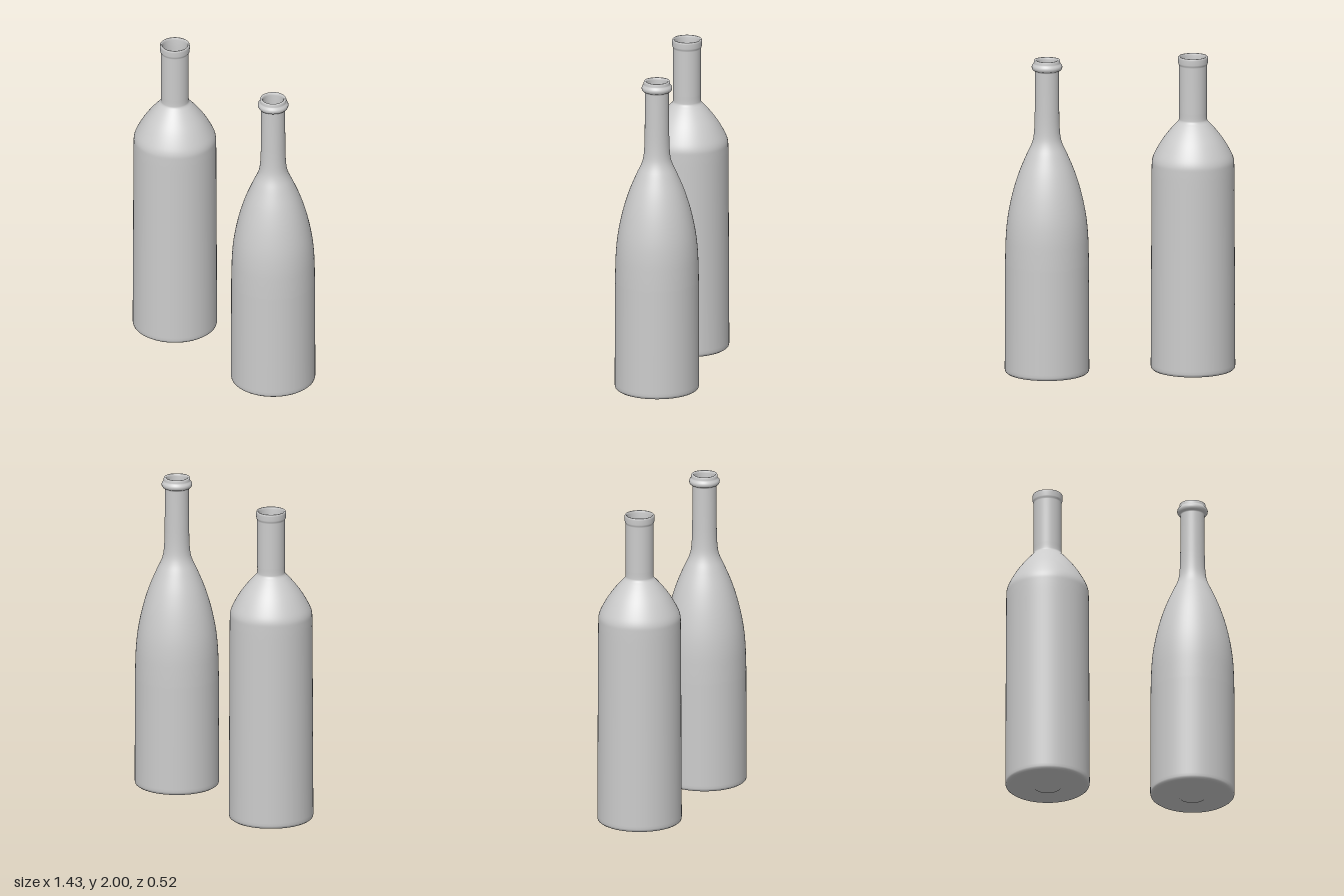
import * as THREE from 'three';

const material = new THREE.MeshStandardMaterial({ color: 0xcccccc });
const SEGMENTS = 64;
const WALL = 0.012;

const toPoints = (pairs) => pairs.map(([r, y]) => new THREE.Vector2(r, y));
const smooth = (pairs, n) => new THREE.SplineCurve(toPoints(pairs)).getPoints(n);

// One closed profile: base, outer wall, lip, then back down the inner wall
function makeBottle(name, x, shoulder, lip, mouth) {
  const base = toPoints([
    [0, 0], [0.08, 0.001], [0.09, 0.01], [0.235, 0.011], [0.25, 0.013],
    [0.259, 0.02], [0.262, 0.032], [0.262, 0.05],
  ]);
  const curve = smooth(shoulder, 40);
  const inner = curve
    .slice()
    .reverse()
    .map((p) => new THREE.Vector2(p.x - WALL, p.y));
  const floor = toPoints([[0.25, 0.045], [0.235, 0.03], [0, 0.025]]);
  const profile = [...base, ...curve, ...toPoints(lip), ...toPoints(mouth), ...inner, ...floor];

  const bottle = new THREE.Mesh(new THREE.LatheGeometry(profile, SEGMENTS), material);
  bottle.name = name;
  bottle.position.x = x;
  return bottle;
}

export function createModel() {
  const group = new THREE.Group();
  group.name = 'bottles';

  // Straight-sided bottle with round shoulders and a banded lip
  group.add(makeBottle('roundShoulderBottle', -0.455,
    [[0.257, 1.2], [0.256, 1.3], [0.252, 1.35], [0.23, 1.402], [0.19, 1.47],
      [0.145, 1.53], [0.11, 1.57], [0.09, 1.592], [0.086, 1.61], [0.086, 1.65]],
    [[0.086, 1.94], [0.087, 1.947], [0.091, 1.953], [0.092, 1.96], [0.093, 1.988], [0.092, 1.996], [0.089, 2]],
    [[0.083, 2], [0.08, 1.996], [0.078, 1.985], [0.074, 1.93]]));

  // Sloping bottle with a long taper and a ringed lip
  group.add(makeBottle('slopingShoulderBottle', 0.455,
    [[0.26, 0.7], [0.258, 0.8], [0.254, 0.9], [0.244, 1.0], [0.226, 1.1], [0.201, 1.2],
      [0.168, 1.3], [0.126, 1.4], [0.098, 1.46], [0.084, 1.51], [0.078, 1.58], [0.076, 1.66]],
    [[0.074, 1.925], [0.077, 1.932], [0.088, 1.937], [0.094, 1.947], [0.095, 1.957],
      [0.092, 1.967], [0.084, 1.975], [0.082, 1.982], [0.082, 1.993], [0.079, 2]],
    [[0.07, 2], [0.066, 1.996], [0.064, 1.985], [0.063, 1.93]]));

  return group;
}
